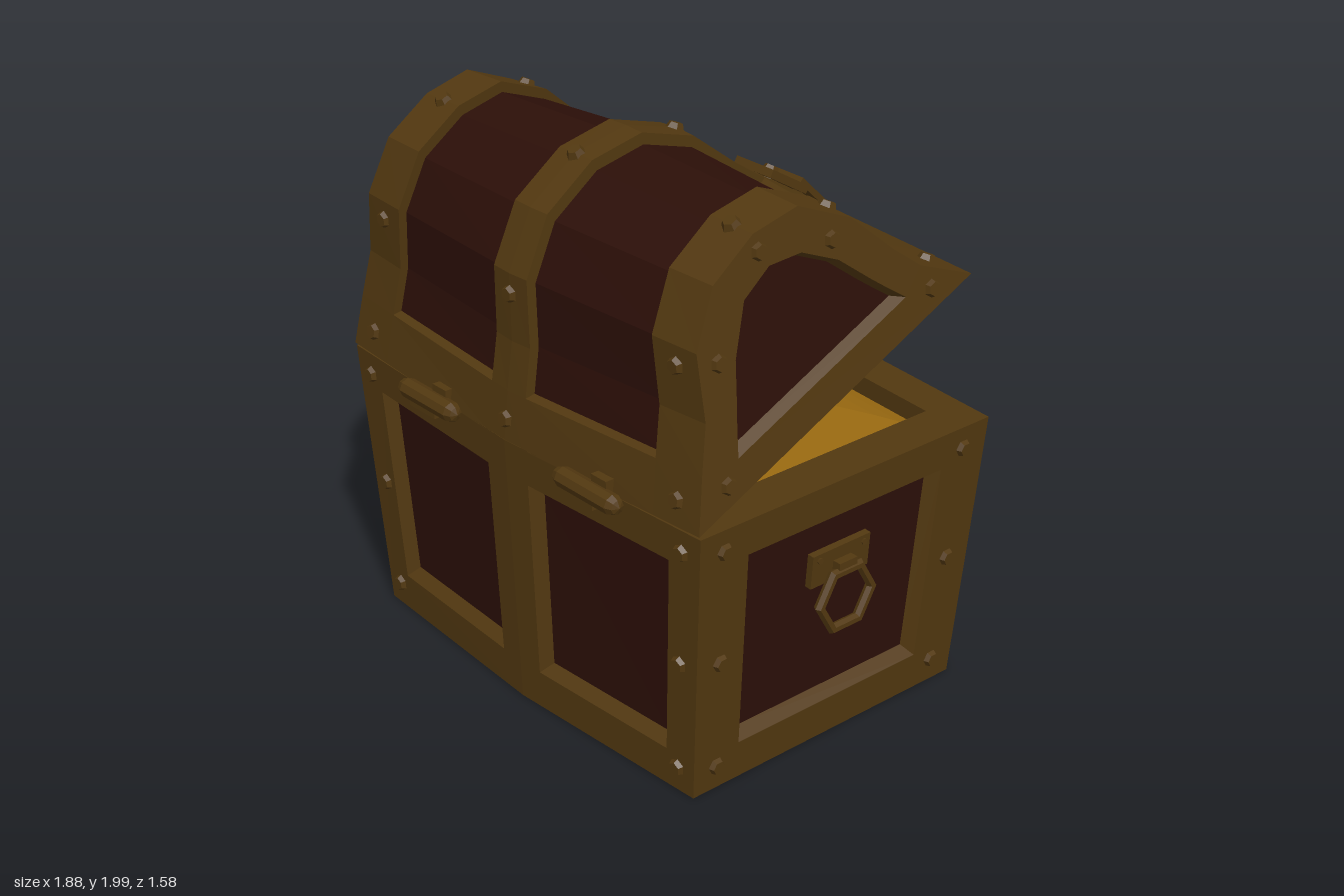
import * as THREE from 'three';

const material = (color) => new THREE.MeshStandardMaterial({ color, flatShading: true, side: THREE.DoubleSide });
const trim = material(0x523810), wood = material(0x2c0f08), gold = material(0x976810);
const V = (x, y, z) => new THREE.Vector3(x, y, z);

function add(parent, name, geometry, mat, x = 0, y = 0, z = 0) {
  const mesh = new THREE.Mesh(geometry, mat);
  mesh.name = name;
  mesh.position.set(x, y, z);
  parent.add(mesh);
  return mesh;
}

// Faceted sheet through rows of points; a closed sheet joins each row into a loop
function sheet(rows, closed = false) {
  const pos = [];
  const tri = (a, b, c) => {
    if (a.distanceTo(b) > 1e-6 && b.distanceTo(c) > 1e-6 && c.distanceTo(a) > 1e-6) {
      for (const p of [a, b, c]) pos.push(p.x, p.y, p.z);
    }
  };
  for (let r = 0; r + 1 < rows.length; r++) {
    const n = rows[r].length;
    for (let c = 0; c < (closed ? n : n - 1); c++) {
      const d = (c + 1) % n;
      tri(rows[r][c], rows[r][d], rows[r + 1][c]);
      tri(rows[r][d], rows[r + 1][d], rows[r + 1][c]);
    }
  }
  const g = new THREE.BufferGeometry();
  g.setAttribute('position', new THREE.Float32BufferAttribute(pos, 3));
  g.computeVertexNormals();
  return g;
}
const ring = (...loops) => sheet(loops, true);
const center = (loop) => loop.reduce((s, p) => s.add(p), V(0, 0, 0)).divideScalar(loop.length);
const cap = (loop) => { const c = center(loop); return ring(loop, loop.map(() => c)); };
const scaled = (loop, x, y, z) => loop.map((p) => V(p.x * x, p.y * y, p.z * z));
const moved = (loop, x, y, z) => loop.map((p) => V(p.x + x, p.y + y, p.z + z));

// Six-sided faceted stud pointing along a normal
const studGeometry = new THREE.CylinderGeometry(0.024, 0.039, 0.034, 6);
function stud(parent, p, normal) {
  const m = add(parent, 'stud', studGeometry, trim, p.x, p.y, p.z);
  m.quaternion.setFromUnitVectors(V(0, 1, 0), normal.clone().normalize());
}

// Plan of the body: a box whose front and back bow outward
function plan(t) {
  const x = 0.85 + 0.08 * t, f = 0.645 + 0.045 * t, b = -0.55 - 0.05 * t, y = 1.02 * t;
  return [V(-x, y, f), V(0, y, f + 0.047), V(x, y, f), V(x, y, b), V(0, y, b - 0.075), V(-x, y, b)];
}

function buildBody() {
  const g = new THREE.Group();
  g.name = 'body';
  const bot = plan(0), top = plan(1);
  // Walls: frame, bevel and recessed panel
  for (let i = 0; i < 6; i++) {
    const j = (i + 1) % 6;
    const at = (u, v) => bot[i].clone().lerp(bot[j], u).lerp(top[i].clone().lerp(top[j], u), v);
    const normal = at(1, 0).sub(at(0, 0)).cross(at(0, 1).sub(at(0, 0))).normalize();
    const side = i % 3 === 2, startsAtCorner = i % 3 === 0;
    const [u0, u1] = side ? [0.16, 0.84] : startsAtCorner ? [0.15, 0.882] : [0.118, 0.85];
    const rect = (d) => {
      const e = d * (side ? 0.8 : 1.1);
      return [at(u0 + e, 0.14 + d), at(u1 - e, 0.14 + d), at(u1 - e, 0.87 - d), at(u0 + e, 0.87 - d)];
    };
    const outer = [at(0, 0), at(1, 0), at(1, 1), at(0, 1)];
    const back = rect(0.035).map((p) => p.addScaledVector(normal, -0.04));
    add(g, 'wallFrame', ring(outer, rect(0), back), trim);
    add(g, 'wallPanel', cap(back), wood);
    const columns = side ? [0.08, 0.915] : [startsAtCorner ? 0.09 : 0.91];
    for (const u of columns) for (const v of [0.09, 0.5, 0.92]) stud(g, at(u, v), normal);
  }
  stud(g, V(0, 0.51, -0.652), V(0, 0, -1));
  // Underside with shallow recess
  const under = bot.slice().reverse();
  const recess = moved(scaled(under, 0.78, 1, 0.76), 0, 0.035, 0);
  add(g, 'underFrame', ring(under, scaled(under, 0.82, 1, 0.8), recess), trim);
  add(g, 'underPanel', cap(recess), trim);
  // Top rim and inner walls
  const lip = scaled(top, 0.82, 1, 0.785);
  add(g, 'topRim', ring(top, lip, moved(lip, 0, -0.12, 0)), trim);
  // Heaped treasure
  const heap = [1, 0.9, 0.8, 0.65, 0.5, 0.25, 0].map((k) =>
    scaled(lip, k, 0, k).map((p) => V(p.x, 0.95 + 0.058 * (1 - k ** 3), p.z)));
  add(g, 'treasure', ring(...heap), gold);
  const coin = new THREE.CylinderGeometry(0.062, 0.062, 0.016, 8);
  const spots = [[0.22, -0.09], [0.08, -0.01], [-0.06, 0.16], [-0.11, 0.08], [-0.19, 0.18], [-0.23, -0.03]];
  spots.forEach(([x, z], i) => {
    const c = add(g, 'coin', coin, gold, x, 1.008 + (i === 3 ? 0.006 : 0), z);
    c.rotation.set(0.06 * Math.sin(i * 2), i, 0.06 * Math.cos(i * 3));
  });
  return g;
}

// Lid profiles (depth, height) from hinge to lip: bulged middle, slimmer ends, end window
const MIDDLE = [[0.69, 0], [0.595, 0.155], [0.5, 0.3], [0.4, 0.52], [0.23, 0.665], [0, 0.71],
  [-0.21, 0.66], [-0.385, 0.51], [-0.5, 0.295], [-0.58, 0.165], [-0.69, 0]];
const END = [[0.645, 0], [0.54, 0.155], [0.44, 0.295], [0.355, 0.505], [0.2, 0.645], [0, 0.685],
  [-0.18, 0.65], [-0.33, 0.485], [-0.42, 0.285], [-0.485, 0.165], [-0.645, 0]];
const WINDOW = [[0.4, 0.115], [0.355, 0.2], [0.31, 0.28], [0.25, 0.39], [0.13, 0.53], [0, 0.56],
  [-0.12, 0.515], [-0.225, 0.4], [-0.3, 0.26], [-0.34, 0.19], [-0.385, 0.115]];
const LAST = MIDDLE.length - 1;

// Lid surface at s (-1..1 across) and profile position i
function lidPoint(s, i, inset = 0) {
  const { lerp } = THREE.MathUtils;
  const a = Math.min(Math.floor(i), LAST - 1), f = i - a, k = 1 - inset / 0.65;
  const [w, v] = [0, 1].map((n) =>
    k * lerp(lerp(MIDDLE[a][n], MIDDLE[a + 1][n], f), lerp(END[a][n], END[a + 1][n], f), Math.abs(s)));
  return V(s * (0.93 - 0.14 * v), v, w);
}
const lidRows = (from, to, columns, inset = 0) => {
  const rows = [];
  for (let i = from; i <= to; i++) rows.push(columns.map((s) => lidPoint(s, i, inset)));
  return rows;
};

function buildLid() {
  const g = new THREE.Group();
  g.name = 'lid';
  g.position.set(0, 1.307, 0.112);
  g.rotation.x = 0.44;
  const E = 0.775, C = 0.1;
  // Rim bands along both long edges
  const across = [-1, -E, -C, 0, C, E, 1];
  add(g, 'rimBand', sheet(lidRows(0, 1, across)), trim);
  add(g, 'rimBand', sheet(lidRows(LAST - 1, LAST, across)), trim);
  // Straps over the arch
  for (const cols of [[-1, -E], [-C, 0, C], [E, 1]]) {
    add(g, 'strap', sheet(lidRows(1, LAST - 1, cols)), trim);
    const s = cols.length === 3 ? 0 : Math.sign(cols[0]) * 0.885;
    for (const i of [0.45, 2.7, 5, 6.95, LAST - 0.45]) {
      const d = lidPoint(s, i + 0.1).sub(lidPoint(s, i - 0.1));
      stud(g, lidPoint(s, i), V(0, -d.z, d.y));
    }
  }
  // Recessed curved panels between the straps
  for (const [l, r] of [[-E, -C], [C, E]]) {
    const loop = (inset) => {
      const rows = lidRows(1, LAST - 1, [l, r], inset);
      return [...rows.map((q) => q[1]), ...rows.map((q) => q[0]).reverse()];
    };
    add(g, 'panelEdge', ring(loop(0), loop(0.04)), trim);
    add(g, 'lidPanel', sheet(lidRows(1, LAST - 1, [l, r], 0.04)), wood);
  }
  // Arched ends
  for (const s of [1, -1]) {
    const order = (loop) => (s > 0 ? loop.reverse() : loop);
    const endPoint = ([w, v], x = 0) => V(s * (0.93 - 0.14 * v - x), v, w);
    const outer = order(END.map((p) => endPoint(p)));
    const inner = order(WINDOW.map((p) => endPoint(p)));
    const back = order(WINDOW.map(([w, v]) => endPoint([w * 0.92, 0.31 + (v - 0.31) * 0.92], 0.04)));
    add(g, 'endFrame', ring(outer, inner, back), trim);
    add(g, 'endPanel', cap(back), wood);
    for (const p of [[0.475, 0.065], [0.305, 0.425], [0.01, 0.625], [-0.236, 0.474], [-0.486, 0.069]]) {
      stud(g, endPoint(p), V(s, 0.14, 0));
    }
  }
  // Underside rim and hollow interior
  const under = [-1, 0, 1].map((s) => lidPoint(s, 0)).concat([1, 0, -1].map((s) => lidPoint(s, LAST))).reverse();
  add(g, 'lidLip', ring(under, scaled(under, 0.86, 1, 0.82)), trim);
  const inside = lidRows(0, LAST, [1, 0, -1]).map((row) => scaled(row, 0.86, 0.86, 0.82));
  add(g, 'lidLining', sheet(inside), wood);
  add(g, 'liningEnd', cap(inside.map((row) => row[0])), wood);
  add(g, 'liningEnd', cap(inside.map((row) => row[2]).reverse()), wood);
  // Hasp plate
  const plate = add(g, 'haspPlate', new THREE.BoxGeometry(0.186, 0.03, 0.2), trim, 0, 0.075, -0.658);
  plate.rotation.x = -0.98;
  stud(g, V(0, 0.095, -0.66), V(0, 0.55, -0.83));
  return g;
}

function buildFittings() {
  const g = new THREE.Group();
  g.name = 'fittings';
  // Hinges
  for (const x of [-0.395, 0.46]) {
    const pin = add(g, 'hingePin', new THREE.CapsuleGeometry(0.036, 0.25, 2, 8), trim, x, 1.025, 0.755);
    pin.rotation.z = Math.PI / 2;
    add(g, 'hingePlate', new THREE.BoxGeometry(0.145, 0.085, 0.05), trim, x - 0.07, 0.988, 0.715);
    add(g, 'hingePlate', new THREE.BoxGeometry(0.075, 0.06, 0.05), trim, x + 0.037, 1.05, 0.715);
  }
  // Slotted hasp flap
  const rectangle = (Kind, x, y0, y1) =>
    new Kind([[-x, y0], [-x, y1], [x, y1], [x, y0]].map(([a, b]) => new THREE.Vector2(a, b)));
  const flap = rectangle(THREE.Shape, 0.093, 0, -0.33);
  flap.holes.push(rectangle(THREE.Path, 0.027, -0.1, -0.285));
  const hasp = add(g, 'haspFlap', new THREE.ExtrudeGeometry(flap, { depth: 0.022, bevelEnabled: false }), trim, 0, 1.655, -0.515);
  hasp.rotation.x = 0.79;
  // Staple for the hasp
  const staple = add(g, 'staple', new THREE.TorusGeometry(0.07, 0.015, 6, 6), trim, 0, 0.92, -0.7);
  staple.rotation.y = Math.PI / 2;
  // Ring handles, one hanging slightly away from the wall
  for (const s of [1, -1]) {
    const plate = add(g, 'handlePlate', new THREE.BoxGeometry(0.035, 0.125, 0.26), trim, s * 0.872, 0.687, 0.04);
    plate.rotation.z = -s * 0.078;
    add(g, 'handleBracket', new THREE.BoxGeometry(0.045, 0.05, 0.08), trim, s * 0.9, 0.675, 0.035);
    const handle = add(g, 'handleRing', new THREE.TorusGeometry(0.118, 0.019, 6, 6), trim, s * 0.912, 0.56, 0.035);
    handle.rotation.set(0, Math.PI / 2, s > 0 ? 0 : -0.1, 'ZYX');
    for (const z of [-0.06, 0.14]) {
      const rivet = add(g, 'rivet', new THREE.CylinderGeometry(0.01, 0.012, 0.012, 6), trim, s * 0.894, 0.725, z);
      rivet.rotation.z = Math.PI / 2;
    }
  }
  return g;
}

export function createModel() {
  const model = new THREE.Group();
  model.name = 'treasureChest';
  model.add(buildBody(), buildLid(), buildFittings());
  return model;
}
